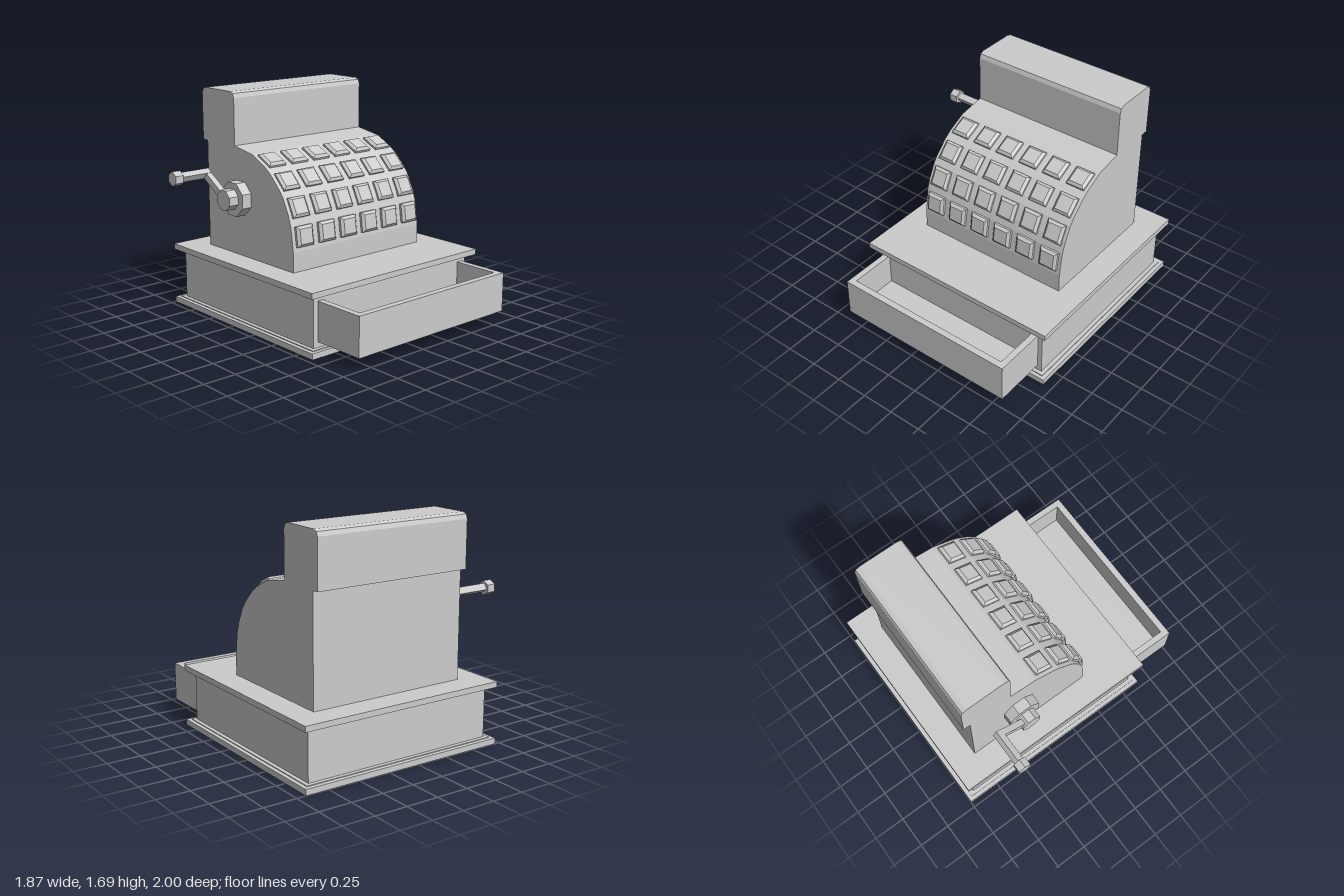
import * as THREE from 'three';

const material = new THREE.MeshStandardMaterial({ color: 0xcccccc, flatShading: true });

function add(parent, name, geometry) {
  const mesh = new THREE.Mesh(geometry, material);
  mesh.name = name;
  parent.add(mesh);
  return mesh;
}

// Box given by its limits on each axis
function block(parent, name, [x0, x1], [y0, y1], [z0, z1]) {
  const mesh = add(parent, name, new THREE.BoxGeometry(x1 - x0, y1 - y0, z1 - z0));
  mesh.position.set((x0 + x1) / 2, (y0 + y1) / 2, (z0 + z1) / 2);
  return mesh;
}

// Side profile of [z, y] points, extruded along x
function sideExtrude(parent, name, points, x0, x1) {
  const shape = new THREE.Shape(points.map(([z, y]) => new THREE.Vector2(-z, y)));
  const geometry = new THREE.ExtrudeGeometry(shape, { depth: x1 - x0, bevelEnabled: false });
  geometry.rotateY(Math.PI / 2); // shape x becomes -z, depth becomes +x
  geometry.translate(x0, 0, 0);
  return add(parent, name, geometry);
}

// Faceted cylinder lying along x
function axle(parent, name, radius, sides, x0, x1, y, z, turn) {
  const geometry = new THREE.CylinderGeometry(radius, radius, x1 - x0, sides, 1, false, turn);
  geometry.rotateZ(Math.PI / 2);
  const mesh = add(parent, name, geometry);
  mesh.position.set((x0 + x1) / 2, y, z);
  return mesh;
}

// Key cap: short straight sides and a top that tapers in, facing +z
function keyGeometry(size, thickness) {
  const geometry = new THREE.BoxGeometry(size, size, thickness, 1, 1, 2);
  const p = geometry.attributes.position;
  for (let i = 0; i < p.count; i++) {
    if (p.getZ(i) > 0.001) p.setXY(i, p.getX(i) * 0.74, p.getY(i) * 0.74);
  }
  geometry.computeVertexNormals();
  return geometry;
}

export function createModel() {
  const model = new THREE.Group();
  model.name = 'cashRegister';

  // Base cabinet between two overhanging plates
  const base = new THREE.Group();
  base.name = 'base';
  model.add(base);
  block(base, 'bottomPlate', [-0.71, 0.93], [0, 0.044], [-1, 0.645]);
  block(base, 'cabinet', [-0.65, 0.87], [0.04, 0.435], [-0.937, 0.588]);
  block(base, 'topPlate', [-0.71, 0.93], [0.43, 0.473], [-1, 0.645]);
  block(base, 'lowerTrim', [-0.68, 0.9], [0.04, 0.05], [-0.967, 0.617]);
  block(base, 'upperTrim', [-0.68, 0.9], [0.425, 0.435], [-0.967, 0.617]);

  // Open drawer
  const drawer = new THREE.Group();
  drawer.name = 'drawer';
  model.add(drawer);
  block(drawer, 'drawerFloor', [-0.61, 0.835], [0.09, 0.135], [0.55, 1]);
  block(drawer, 'drawerFront', [-0.61, 0.835], [0.09, 0.385], [0.95, 1]);
  block(drawer, 'drawerRightSide', [-0.61, -0.562], [0.09, 0.385], [0.55, 1]);
  block(drawer, 'drawerLeftSide', [0.787, 0.835], [0.09, 0.385], [0.55, 1]);

  // Curved body and the display housing on top
  sideExtrude(model, 'body', [
    [-0.8, 0.46], [0.208, 0.46], [0.208, 0.62], [0.183, 0.8], [0.155, 0.885], [0.1, 0.995],
    [0.06, 1.048], [-0.04, 1.145], [-0.1, 1.188], [-0.25, 1.26], [-0.46, 1.294], [-0.8, 1.294],
  ], -0.51, 0.735);
  sideExtrude(model, 'displayHousing', [
    [-0.855, 1.29], [-0.46, 1.29], [-0.46, 1.645], [-0.472, 1.677], [-0.505, 1.69],
    [-0.81, 1.69], [-0.843, 1.677], [-0.855, 1.645],
  ], -0.51, 0.735);

  // Four rows of keys following the curve: z, y, tilt in degrees
  const keys = new THREE.Group();
  keys.name = 'keys';
  model.add(keys);
  const keyShape = keyGeometry(0.15, 0.036);
  const rows = [[0.213, 0.73, 8], [0.148, 0.93, 27], [0.025, 1.1, 45], [-0.15, 1.228, 64]];
  for (const [z, y, tilt] of rows) {
    for (let i = 0; i < 6; i++) {
      const key = add(keys, 'key', keyShape);
      key.position.set(-0.405 + i * 0.208, y, z);
      key.rotation.x = -THREE.MathUtils.degToRad(tilt);
    }
  }

  // Crank on the right side
  const crank = new THREE.Group();
  crank.name = 'crank';
  model.add(crank);
  axle(crank, 'crankPlate', 0.134, 8, -0.59, -0.5, 0.915, -0.395, Math.PI / 8);
  axle(crank, 'crankHub', 0.08, 8, -0.67, -0.58, 0.918, -0.395, Math.PI / 8);
  const tilt = Math.atan2(0.16, 0.26);
  const arm = add(crank, 'crankArm', new THREE.BoxGeometry(0.047, 0.052, 0.305));
  arm.position.set(-0.634, 0.997, -0.53);
  arm.rotation.x = tilt;
  const handle = add(crank, 'crankHandle', new THREE.BoxGeometry(0.26, 0.052, 0.052));
  handle.position.set(-0.74, 1.075, -0.652);
  handle.rotation.x = tilt;
  const knob = axle(crank, 'crankKnob', 0.055, 6, -0.935, -0.868, 1.073, -0.652, 0);
  knob.rotation.x = tilt;

  return model;
}
